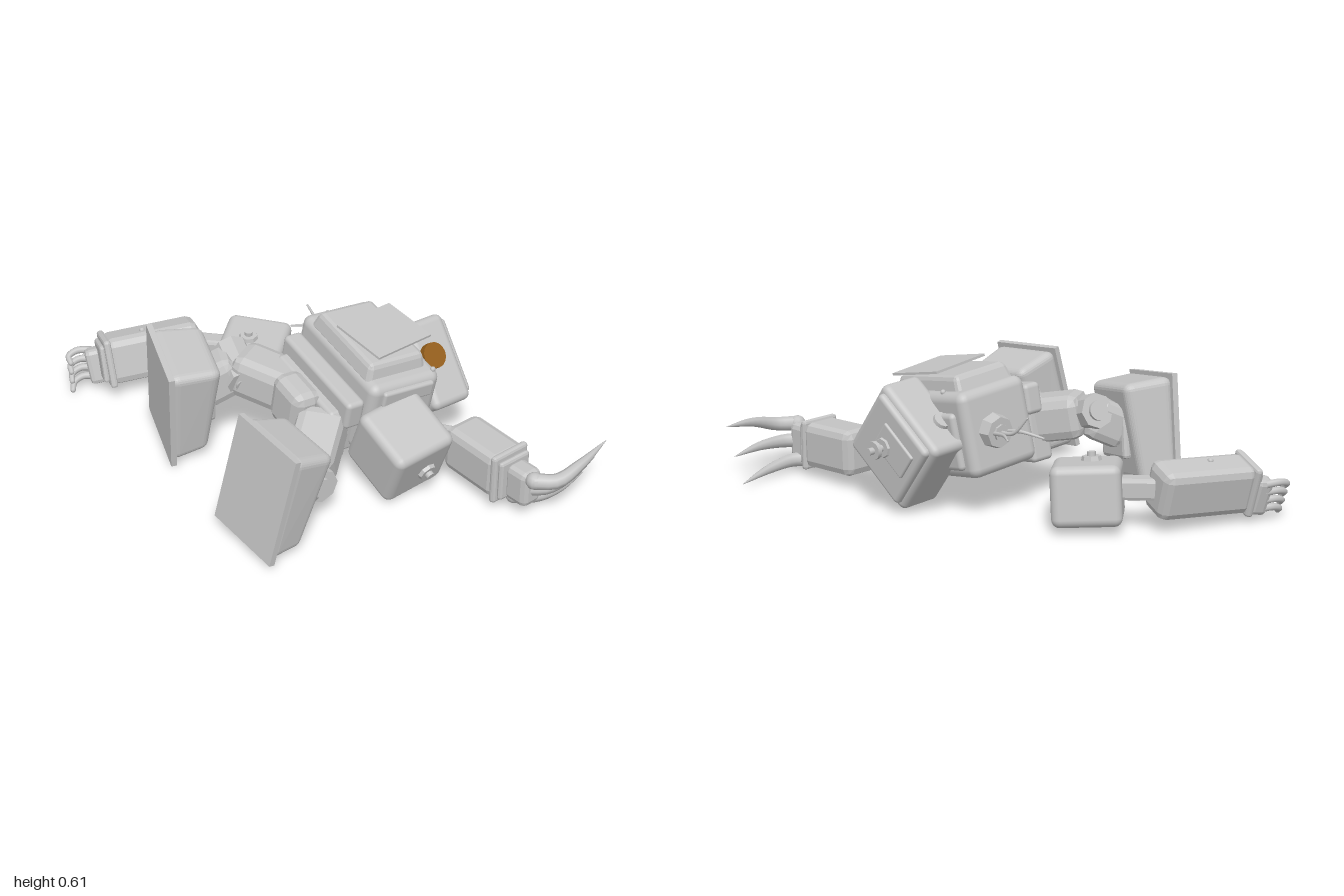
import * as THREE from 'three';
import { RoundedBoxGeometry } from 'three/addons/geometries/RoundedBoxGeometry.js';

const V = (x, y, z) => new THREE.Vector3(x, y, z);

export function createModel() {
  const root = new THREE.Group();
  root.name = 'fallenRobot';
  const metal = new THREE.MeshStandardMaterial({ color: 0xc4c4c4 });
  metal.name = 'grey metal';
  const amber = new THREE.MeshStandardMaterial({ color: 0x945e1a });
  amber.name = 'amber lens';

  // ---- helpers ----
  const mesh = (name, geo, parent, pos = [0, 0, 0], rot = [0, 0, 0], mat = metal) => {
    const m = new THREE.Mesh(geo, mat);
    m.name = name;
    m.position.set(...pos);
    m.rotation.set(...rot);
    parent.add(m);
    return m;
  };
  const group = (name, pos, rot = [0, 0, 0], parent = root) => {
    const g = new THREE.Group();
    g.name = name;
    g.position.set(...pos);
    g.rotation.set(...rot);
    parent.add(g);
    return g;
  };
  const rounded = (w, h, d, r = 0.03) => new RoundedBoxGeometry(w, h, d, 3, r);
  const chamfered = (w, h, d, r = 0.03) => {
    const g = new RoundedBoxGeometry(w, h, d, 1, r);
    g.computeVertexNormals();
    return g;
  };
  const prism = (r0, r1, h, n = 8) => {
    const g = new THREE.CylinderGeometry(r0, r1, h, n).toNonIndexed();
    g.computeVertexNormals();
    return g;
  };
  // narrows a geometry towards its +z end; lean makes its upper part deeper than its lower part
  const taper = (geo, depth, k, lean = 0) => {
    const p = geo.attributes.position;
    for (let i = 0; i < p.count; i++) {
      const t = p.getZ(i) / depth + 0.5, s = 1 - k * t, y = p.getY(i);
      p.setXYZ(i, p.getX(i) * s, y * s, p.getZ(i) + lean * y * t);
    }
    geo.computeVertexNormals();
    return geo;
  };
  // turns an object so its z axis follows z and its y axis leans to y
  const aim = (obj, z, y = V(0, 1, 0)) => {
    const Z = z.clone().normalize();
    const X = y.clone().cross(Z).normalize();
    obj.quaternion.setFromRotationMatrix(new THREE.Matrix4().makeBasis(X, Z.clone().cross(X), Z));
    return obj;
  };
  // block between two points
  const link = (name, a, b, w, h, parent = root, r = 0.03, up = [0, 1, 0]) => {
    const A = V(...a), B = V(...b), d = B.clone().sub(A);
    const geo = chamfered(w, h, d.length(), r);
    return aim(mesh(name, geo, parent, A.add(B).multiplyScalar(0.5).toArray()), d, V(...up));
  };
  // eight-sided bolt standing on local y
  const bolt = (parent, pos, rot, r = 0.04) => {
    const g = group('bolt', pos, rot, parent);
    mesh('boltRing', prism(r * 0.85, r, 0.025), g);
    mesh('boltPin', new THREE.CylinderGeometry(r * 0.4, r * 0.4, 0.04, 12), g, [0, 0.01, 0]);
  };
  // pointed or blunt curved digit
  const digit = (name, pts, r, tip, parent = root) => {
    const curve = new THREE.CatmullRomCurve3(pts.map(p => V(...p)));
    const n = 14, m = 8, geo = new THREE.TubeGeometry(curve, n, r, m);
    const p = geo.attributes.position, v = V();
    for (let i = 0; i <= n; i++) {
      const c = curve.getPointAt(i / n), s = 1 - (1 - tip) * (i / n) ** 1.6;
      for (let j = 0; j <= m; j++) {
        const q = i * (m + 1) + j;
        v.fromBufferAttribute(p, q).sub(c).multiplyScalar(s).add(c);
        p.setXYZ(q, v.x, v.y, v.z);
      }
    }
    mesh(name, geo, parent);
    if (tip > 0.3) mesh(name + 'Tip', new THREE.SphereGeometry(r * tip, 8, 6), parent, pts[pts.length - 1]);
  };

  // ---- torso ----
  const torso = group('torso', [0.12, 0.32, 0.08], [0.17, 0, -0.1]);
  mesh('torsoShell', rounded(0.345, 0.36, 0.55, 0.04), torso);
  mesh('chestStep', taper(chamfered(0.3, 0.44, 0.09, 0.02), 0.09, 0.12), torso, [-0.015, 0.195, 0], [-Math.PI / 2, 0, 0]);
  mesh('chestRib', rounded(0.25, 0.07, 0.03, 0.012), torso, [0.005, 0.12, 0.275]);
  mesh('collar', rounded(0.05, 0.24, 0.34, 0.02), torso, [0.17, -0.02, -0.05]);
  mesh('chestPlate', new THREE.BoxGeometry(0.305, 0.01, 0.25), torso, [0.02, 0.262, 0.035], [0, 0.18, 0]);
  for (const z of [-0.13, 0.24]) mesh('rivet', new THREE.SphereGeometry(0.012, 8, 6), torso, [0.145, 0.18, z]);

  // torn shoulder with loose wires
  const socket = group('tornShoulder', [0.16, 0.36, -0.215], [-Math.PI / 2, 0, 0]);
  mesh('socketRing', prism(0.065, 0.075, 0.05), socket);
  mesh('socketCore', prism(0.035, 0.035, 0.07), socket);
  [[0.06, 0.35, -0.39], [0.13, 0.44, -0.37], [0.24, 0.37, -0.38]].forEach((e, i) => {
    const x = 0.13 + i * 0.03;
    digit('wire', [[x, 0.36, -0.23], [x + (e[0] - x) * 0.25, 0.37, -0.31], e], 0.009, 0.5);
  });

  // ---- head ----
  const head = group('head', [0.365, 0.28, 0.1]);
  aim(head, V(0.1, 0.61, 0.79), V(1, -0.05, -0.1));
  mesh('headShell', rounded(0.38, 0.2, 0.39, 0.03), head);
  mesh('crownRim', rounded(0.33, 0.05, 0.34, 0.02), head, [0, 0.1, 0]);
  mesh('crownPanel', rounded(0.13, 0.02, 0.2, 0.008), head, [-0.03, 0.125, -0.03]);
  mesh('crownBase', prism(0.04, 0.05, 0.03), head, [0, 0.13, 0.015]);
  mesh('crownPin', new THREE.CylinderGeometry(0.015, 0.015, 0.1, 10), head, [0, 0.165, 0.015]);
  mesh('crownKnob', new THREE.CylinderGeometry(0.038, 0.038, 0.018, 12), head, [0, 0.182, 0.015]);
  mesh('eyeLens', new THREE.CylinderGeometry(0.055, 0.055, 0.04, 16), head, [-0.03, -0.035, 0.207], [Math.PI / 2, 0, 0], amber);
  for (const s of [-1, 1])
    mesh('earCap', new THREE.CylinderGeometry(0.038, 0.042, 0.03, 14), head, [s * 0.19, -0.035, -0.06], [0, 0, Math.PI / 2]);
  mesh('neck', prism(0.11, 0.11, 0.12, 12), head, [0, -0.12, 0]);

  // ---- waist and hips ----
  const hips = group('hips', [-0.13, 0.27, 0.085], [0.17, 0, -0.05]);
  mesh('hipSlab', rounded(0.11, 0.27, 0.42, 0.02), hips, [-0.01, -0.01, -0.01]);
  mesh('beltBar', rounded(0.085, 0.13, 0.5, 0.02), hips, [0.02, 0.13, 0]);
  mesh('waist', rounded(0.12, 0.26, 0.36, 0.02), hips, [0.07, 0, 0]);
  mesh('hipCore', chamfered(0.13, 0.22, 0.2, 0.04), hips, [-0.1, 0.04, 0]);

  // ---- legs ----
  const leg = (name, hip, knee, ankle, axis) => {
    const g = group(name, [0, 0, 0]);
    link('thigh', hip, knee, 0.2, 0.19, g, 0.045);
    link('shin', knee, ankle, 0.18, 0.18, g, 0.04);
    const joint = aim(group('knee', knee, [0, 0, 0], g), V(...axis));
    mesh('kneeBarrel', prism(0.075, 0.075, 0.2), joint, [0, 0, 0], [Math.PI / 2, 0, 0]);
    mesh('kneePin', new THREE.CylinderGeometry(0.042, 0.042, 0.23, 16), joint, [0, 0, 0], [Math.PI / 2, 0, 0]);
  };
  leg('frontLeg', [-0.15, 0.29, 0.2], [-0.34, 0.17, 0.37], [-0.48, 0.21, 0.43], [0, 0, 1]);
  leg('rearLeg', [-0.16, 0.31, 0], [-0.31, 0.36, -0.23], [-0.47, 0.28, -0.29], [0.2, 0.35, -1]);

  // boots: local z runs from the sole to the ankle
  const boot = (name, pos, depthDir, upDir) => {
    const g = aim(group(name, pos), V(...depthDir), V(...upDir));
    mesh('sole', new THREE.BoxGeometry(0.37, 0.48, 0.025), g);
    mesh('bootBody', taper(rounded(0.35, 0.46, 0.19, 0.035), 0.19, 0.1, 0.14), g, [0, 0, 0.095]);
    mesh('ankleCollar', chamfered(0.2, 0.22, 0.04, 0.015), g, [0, 0, 0.19]);
  };
  boot('frontBoot', [-0.63, 0.26, 0.45], [0.97, -0.22, -0.1], [0.11, 0.47, 0.03]);
  boot('rearBoot', [-0.62, 0.265, -0.33], [0.96, 0.02, 0.25], [0, 0.49, 0.085]);

  // ---- attached arm ----
  const shoulder = group('shoulder', [0.062, 0.198, 0.435], [0.42, 0.1, 0.04]);
  mesh('shoulderBox', rounded(0.295, 0.29, 0.29, 0.035), shoulder);
  bolt(shoulder, [0.03, -0.015, 0.148], [Math.PI / 2, 0, 0], 0.045);
  link('shoulderLink', [0.14, 0.24, 0.26], [0.1, 0.21, 0.36], 0.14, 0.14);
  link('elbowLink', [0.17, 0.2, 0.39], [0.34, 0.16, 0.51], 0.075, 0.085, root, 0.015);
  link('forearm', [0.335, 0.15, 0.47], [0.37, 0.14, 0.77], 0.185, 0.2, root, 0.035);
  link('wristFlange', [0.368, 0.14, 0.745], [0.372, 0.14, 0.775], 0.19, 0.22, root, 0.012);
  link('wristRing', [0.372, 0.14, 0.775], [0.375, 0.14, 0.8], 0.16, 0.18, root, 0.012);
  link('palm', [0.375, 0.13, 0.78], [0.39, 0.13, 0.9], 0.1, 0.16, root, 0.025);
  [[0.05, 0.8, 0.01], [0.125, 0.86, 0.12], [0.19, 0.92, 0.24]].forEach(([y, z, tipY]) => {
    digit('claw', [[0.37, y, z], [0.45, y, z + 0.05], [0.57, (y + tipY) / 2 + 0.005, z + 0.045], [0.75, tipY, z - 0.01]], 0.034, 0.03);
    mesh('clawKnuckle', new THREE.SphereGeometry(0.036, 10, 8), root, [0.375, y, z]);
  });

  // ---- severed arm ----
  const lost = group('severedArm', [0, 0, 0]);
  const cap = group('severedShoulder', [-0.045, 0.143, -0.54], [0.08, Math.PI / 4, 0.06], lost);
  mesh('shoulderBox', rounded(0.285, 0.25, 0.285, 0.035), cap);
  bolt(cap, [-0.02, 0.13, -0.02], [0, 0, 0], 0.045);
  link('elbowLink', [-0.11, 0.17, -0.63], [-0.25, 0.17, -0.76], 0.085, 0.09, lost, 0.015);
  const roll = [0.05, 1, -0.25];
  link('forearm', [-0.2, 0.17, -0.765], [-0.61, 0.15, -0.875], 0.17, 0.21, lost, 0.035, roll);
  link('wristFlange', [-0.585, 0.15, -0.868], [-0.615, 0.148, -0.876], 0.19, 0.22, lost, 0.012, roll);
  link('wristRing', [-0.61, 0.148, -0.875], [-0.635, 0.147, -0.882], 0.15, 0.17, lost, 0.012, roll);
  link('palm', [-0.6, 0.11, -0.91], [-0.67, 0.1, -0.935], 0.08, 0.16, lost, 0.02, roll);
  mesh('rivet', new THREE.SphereGeometry(0.013, 8, 6), lost, [-0.44, 0.265, -0.835]);
  for (let i = 0; i < 4; i++) {
    const y = 0.045 + i * 0.038, z = -0.945 - i * 0.013;
    digit('finger', [[-0.63, y, z + 0.02], [-0.69, y + 0.005, z - 0.005], [-0.735, y - 0.01, z], [-0.755 + i * 0.006, y - 0.03, z + 0.025]], 0.017, 0.7, lost);
  }
  return root;
}
